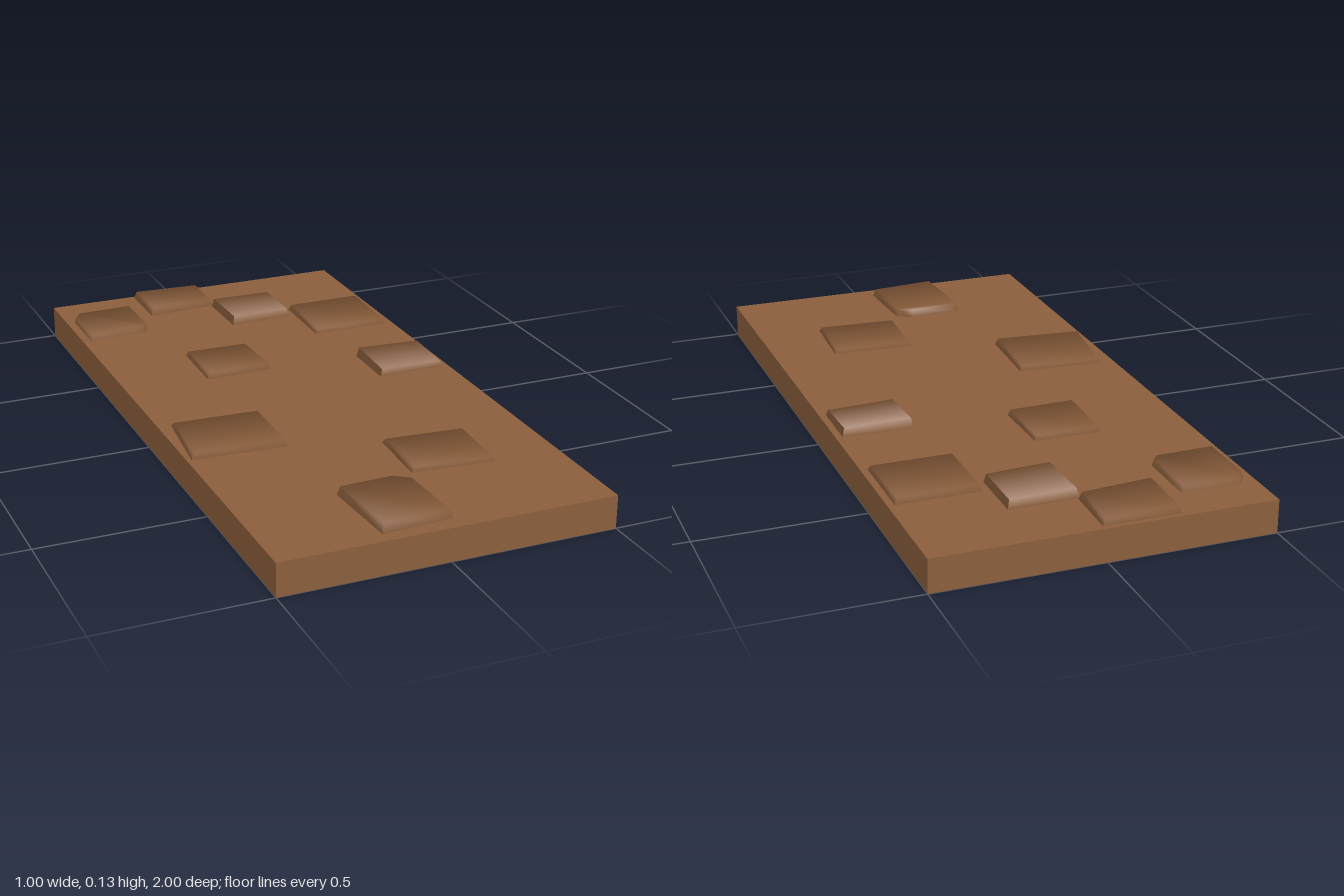
import * as THREE from 'three';

// Each stone: corners [x, z] clockwise from above, height at its centre, slopes along x and z,
// underside height, and whether the x-facing walls stay sharp.
const STONES = [
  { c: [[-0.45, -0.88], [-0.27, -0.875], [-0.27, -0.68], [-0.29, -0.66], [-0.477, -0.648], [-0.477, -0.84]], h: 0.119, sx: 0.02, sz: 0.01, low: 0.09 },
  { c: [[-0.217, -0.987], [0.01, -0.985], [0.005, -0.81], [-0.217, -0.8]], h: 0.123, sx: -0.02, sz: 0.02 },
  { c: [[0, -0.805], [0.207, -0.805], [0.207, -0.62], [0.003, -0.61]], h: 0.127, sx: -0.01, sz: 0, sharp: true },
  { c: [[0.228, -0.675], [0.48, -0.675], [0.48, -0.43], [0.225, -0.43]], h: 0.116, sx: 0, sz: -0.02 },
  { c: [[-0.233, -0.415], [-0.03, -0.41], [-0.025, -0.205], [-0.238, -0.2]], h: 0.117, sx: 0, sz: 0.02 },
  { c: [[0.265, -0.198], [0.48, -0.193], [0.48, -0.018], [0.265, -0.013]], h: 0.124, sx: -0.02, sz: -0.05, sharp: true },
  { c: [[-0.46, 0.088], [-0.19, 0.108], [-0.2, 0.358], [-0.487, 0.34]], h: 0.116, sx: 0.01, sz: 0.03 },
  { c: [[0.058, 0.437], [0.312, 0.452], [0.3, 0.676], [0.048, 0.655]], h: 0.113, sx: -0.01, sz: 0.01 },
  { c: [[-0.2, 0.7], [-0.03, 0.69], [0.017, 0.722], [0.027, 0.95], [-0.185, 0.962]], h: 0.125, sx: -0.015, sz: 0 },
];

// A low frustum whose corner normals blend the top with the neighbouring walls
function stoneGeometry({ c, h, sx, sz, low = 0.099, sharp = false }) {
  const n = c.length;
  const cx = c.reduce((s, p) => s + p[0], 0) / n;
  const cz = c.reduce((s, p) => s + p[1], 0) / n;
  const up = new THREE.Vector3(0, 1, 0);
  const down = new THREE.Vector3(0, -1, 0);
  const bottom = c.map(([x, z]) => new THREE.Vector3(x, low, z));
  const top = c.map(([x, z]) => new THREE.Vector3(
    cx + (x - cx) * 0.94, h + (x - cx) * sx + (z - cz) * sz, cz + (z - cz) * 0.94));
  const walls = c.map((p, i) => {
    const q = c[(i + 1) % n];
    return new THREE.Vector3(q[1] - p[1], 0.2, p[0] - q[0]).setY(0).normalize();
  });
  const isSharp = (w) => sharp && Math.abs(w.x) > 0.7;
  const cornerNormal = (i) => {
    const v = up.clone();
    for (const w of [walls[i], walls[(i + n - 1) % n]]) if (!isSharp(w)) v.add(w);
    return v.normalize();
  };
  const corner = c.map((p, i) => cornerNormal(i));

  const pos = [], nor = [];
  const put = (p, v) => { pos.push(p.x, p.y, p.z); nor.push(v.x, v.y, v.z); };
  for (let i = 1; i < n - 1; i++) {
    for (const k of [0, i + 1, i]) put(top[k], corner[k]);
    for (const k of [0, i, i + 1]) put(bottom[k], down);
  }
  for (let i = 0; i < n; i++) {
    const j = (i + 1) % n;
    const wall = walls[i];
    const ni = isSharp(wall) ? wall : corner[i];
    const nj = isSharp(wall) ? wall : corner[j];
    put(bottom[i], wall); put(top[i], ni); put(top[j], nj);
    put(bottom[i], wall); put(top[j], nj); put(bottom[j], wall);
  }
  const g = new THREE.BufferGeometry();
  g.setAttribute('position', new THREE.Float32BufferAttribute(pos, 3));
  g.setAttribute('normal', new THREE.Float32BufferAttribute(nor, 3));
  return g;
}

export function createModel() {
  const group = new THREE.Group();
  group.name = 'stonePath';
  const earth = new THREE.MeshStandardMaterial({ color: 0x8b5e3c, side: THREE.DoubleSide });
  earth.name = 'earthBrown';

  // Hollow slab, open underneath
  const slabGeometry = new THREE.BoxGeometry(1, 0.1, 2);
  const index = Array.from(slabGeometry.index.array);
  index.splice(18, 6);
  slabGeometry.setIndex(index);
  slabGeometry.clearGroups();
  const slab = new THREE.Mesh(slabGeometry, earth);
  slab.name = 'slab';
  slab.position.y = 0.05;
  group.add(slab);

  // Scattered flat stones
  STONES.forEach((s, i) => {
    const stone = new THREE.Mesh(stoneGeometry(s), earth);
    stone.name = `stone${i + 1}`;
    group.add(stone);
  });
  return group;
}
